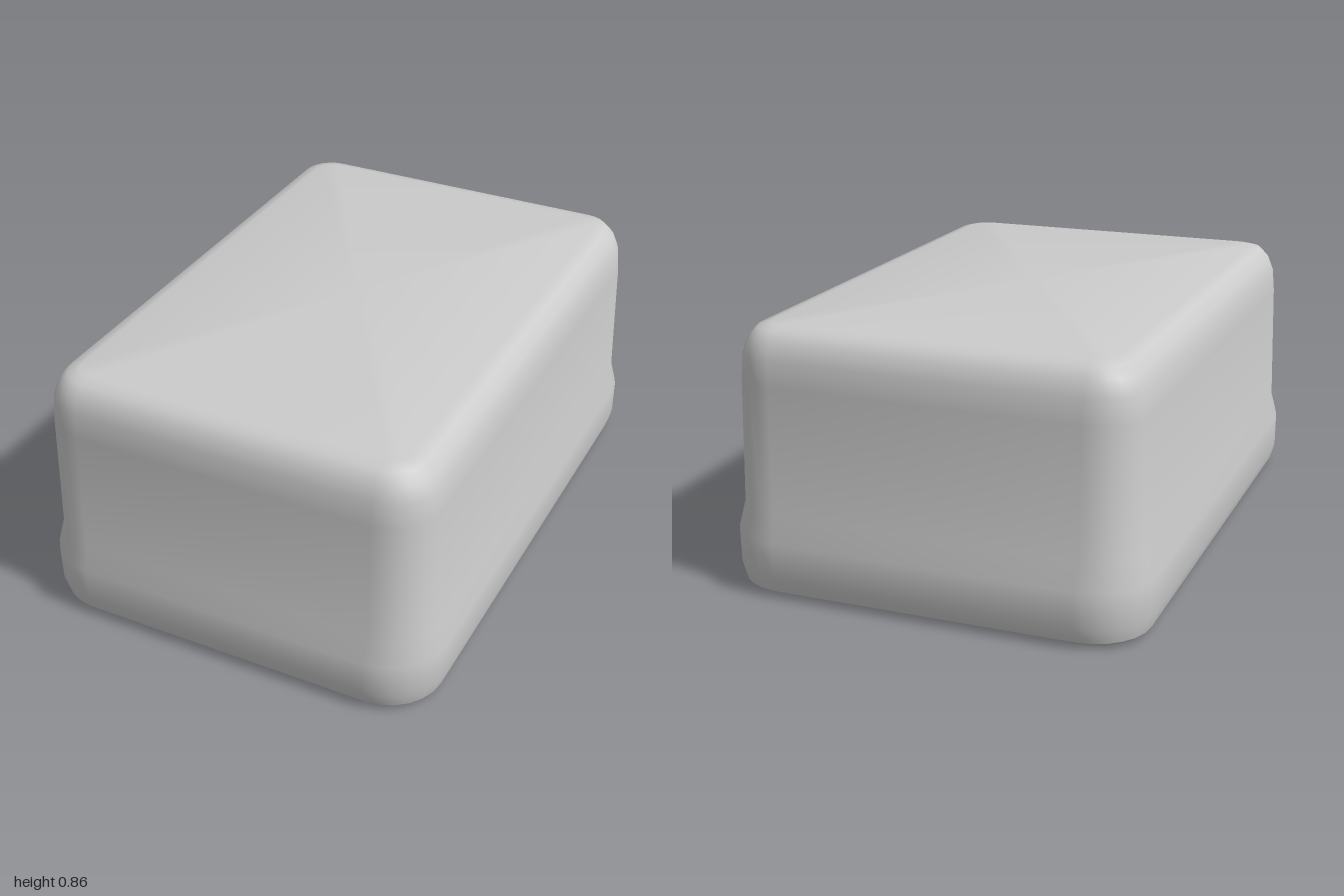
import * as THREE from 'three';
import { toCreasedNormals } from 'three/addons/utils/BufferGeometryUtils.js';

const CORNER_STEPS = 6;

// Points of a rounded rectangle (half width, half depth, corner radius) at height y
function ring([hx, hz, r, y]) {
  const points = [];
  const corners = [[1, 1], [-1, 1], [-1, -1], [1, -1]];
  corners.forEach(([sx, sz], q) => {
    for (let k = 0; k <= CORNER_STEPS; k++) {
      const t = (q + k / CORNER_STEPS) * Math.PI / 2;
      points.push([sx * (hx - r) + r * Math.cos(t), y, sz * (hz - r) + r * Math.sin(t)]);
    }
  });
  return points;
}

// Skin a list of sections; the first and last are closed to a centre point
function loft(sections) {
  const rings = sections.map(ring);
  const n = rings[0].length, last = rings.length - 1;
  const position = [];
  const tri = (...corners) => corners.forEach(p => position.push(...p));
  for (let i = 0; i < last; i++) {
    for (let j = 0; j < n; j++) {
      const k = (j + 1) % n;
      tri(rings[i][j], rings[i + 1][j], rings[i + 1][k]);
      tri(rings[i][j], rings[i + 1][k], rings[i][k]);
    }
  }
  const bottom = [0, sections[0][3], 0], top = [0, sections[last][3], 0];
  for (let j = 0; j < n; j++) {
    const k = (j + 1) % n;
    tri(bottom, rings[0][j], rings[0][k]);
    tri(top, rings[last][k], rings[last][j]);
  }
  const geometry = new THREE.BufferGeometry();
  geometry.setAttribute('position', new THREE.Float32BufferAttribute(position, 3));
  return toCreasedNormals(geometry, 0.6);
}

export function createModel() {
  const group = new THREE.Group();
  group.name = 'hollowCover';

  // Half width, half depth, corner radius, height
  const sections = [
    // inside: ceiling, walls, flared skirt
    [0.56, 0.84, 0.08, 0.78],
    [0.59, 0.87, 0.10, 0.74],
    [0.605, 0.89, 0.10, 0.28],
    [0.62, 0.915, 0.11, 0.20],
    [0.62, 0.915, 0.11, 0.05],
    // bottom rim
    [0.61, 0.905, 0.11, 0.01],
    [0.655, 0.95, 0.15, 0.01],
    // outside: rounded skirt, step, walls, rounded top edge
    [0.685, 0.98, 0.18, 0.03],
    [0.70, 0.997, 0.20, 0.08],
    [0.70, 1.0, 0.20, 0.20],
    [0.678, 0.97, 0.17, 0.285],
    [0.668, 0.958, 0.16, 0.70],
    [0.66, 0.95, 0.15, 0.78],
    [0.64, 0.93, 0.13, 0.83],
    [0.61, 0.90, 0.10, 0.862],
    [0.57, 0.86, 0.06, 0.872],
  ];
  const shell = new THREE.Mesh(loft(sections), new THREE.MeshStandardMaterial({ color: 0xcccccc }));
  shell.name = 'shell';
  group.add(shell);
  return group;
}
